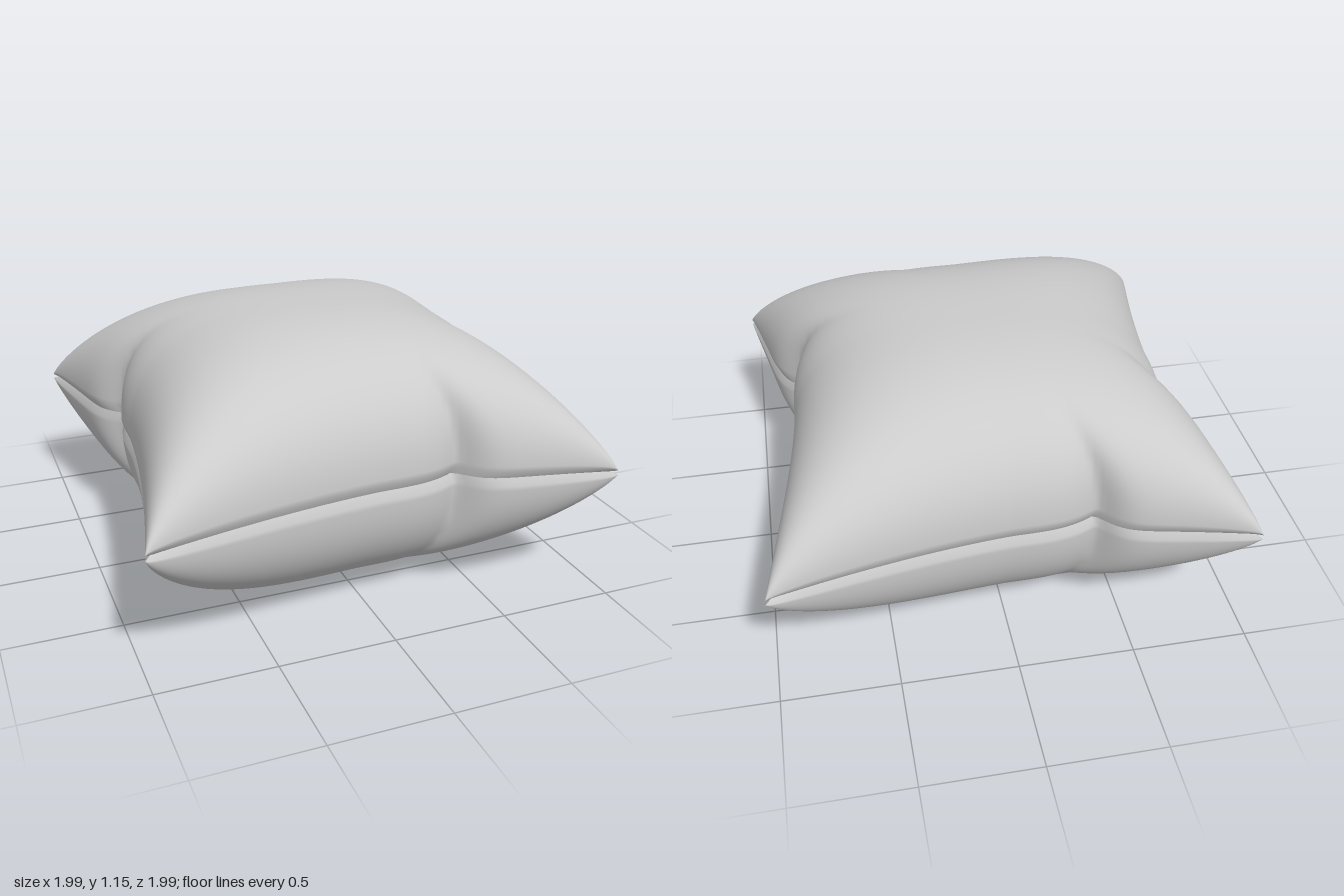
import * as THREE from 'three';

const N = 130;          // grid divisions per panel
const SEAM_Y = 0.58;    // height of the seam
const PUFF = 0.575;     // half thickness at the middle

// Half width of the cushion at position t along an edge, at depth d (0 middle, 1 seam).
// Each edge bows inward and has one pinched fold, which fades toward the middle.
function halfWidth(t, d) {
  const bow = 0.83 + 0.165 * Math.pow(Math.abs(t), 1.5);
  const off = t - 0.36 + 0.35 * (1 - d);
  const fold = off > 0
    ? Math.exp(-Math.pow(off / 0.08, 1.4))
    : Math.exp(-Math.pow(-off / 0.13, 1.1));
  return bow - 0.1 * fold * Math.pow(d, 4);
}

// One inflated fabric panel; side is 1 for the top and -1 for the underside.
function panel(side) {
  const geo = new THREE.PlaneGeometry(2, 2, N, N);
  geo.rotateX(-side * Math.PI / 2);
  const pos = geo.attributes.position;
  const swell = a => Math.pow(Math.max(0, 1 - Math.pow(Math.abs(a), 2.7)), 0.42);
  for (let i = 0; i < pos.count; i++) {
    // rows are packed closer together near the seam
    const u = Math.sin(pos.getX(i) * Math.PI / 2);
    const v = Math.sin(pos.getZ(i) * Math.PI / 2);
    const atSeam = Math.max(Math.abs(u), Math.abs(v)) > 0.99999;
    // the last row tucks inward to form the seam groove
    const tuck = atSeam ? 0.977 : 1;
    const x = u * halfWidth(v * Math.sign(u), Math.abs(u)) * tuck;
    const z = v * halfWidth(u * Math.sign(v), Math.abs(v)) * tuck;
    const h = atSeam ? 0 : 0.008 + (PUFF - 0.008) * swell(u) * swell(v);
    pos.setXYZ(i, x, SEAM_Y + side * h, z);
  }
  geo.computeVertexNormals();
  return geo;
}

export function createModel() {
  const cushion = new THREE.Group();
  cushion.name = 'cushion';
  const fabric = new THREE.MeshStandardMaterial({ color: 0xcccccc });
  for (const [name, side] of [['topPanel', 1], ['bottomPanel', -1]]) {
    const mesh = new THREE.Mesh(panel(side), fabric);
    mesh.name = name;
    cushion.add(mesh);
  }
  return cushion;
}
